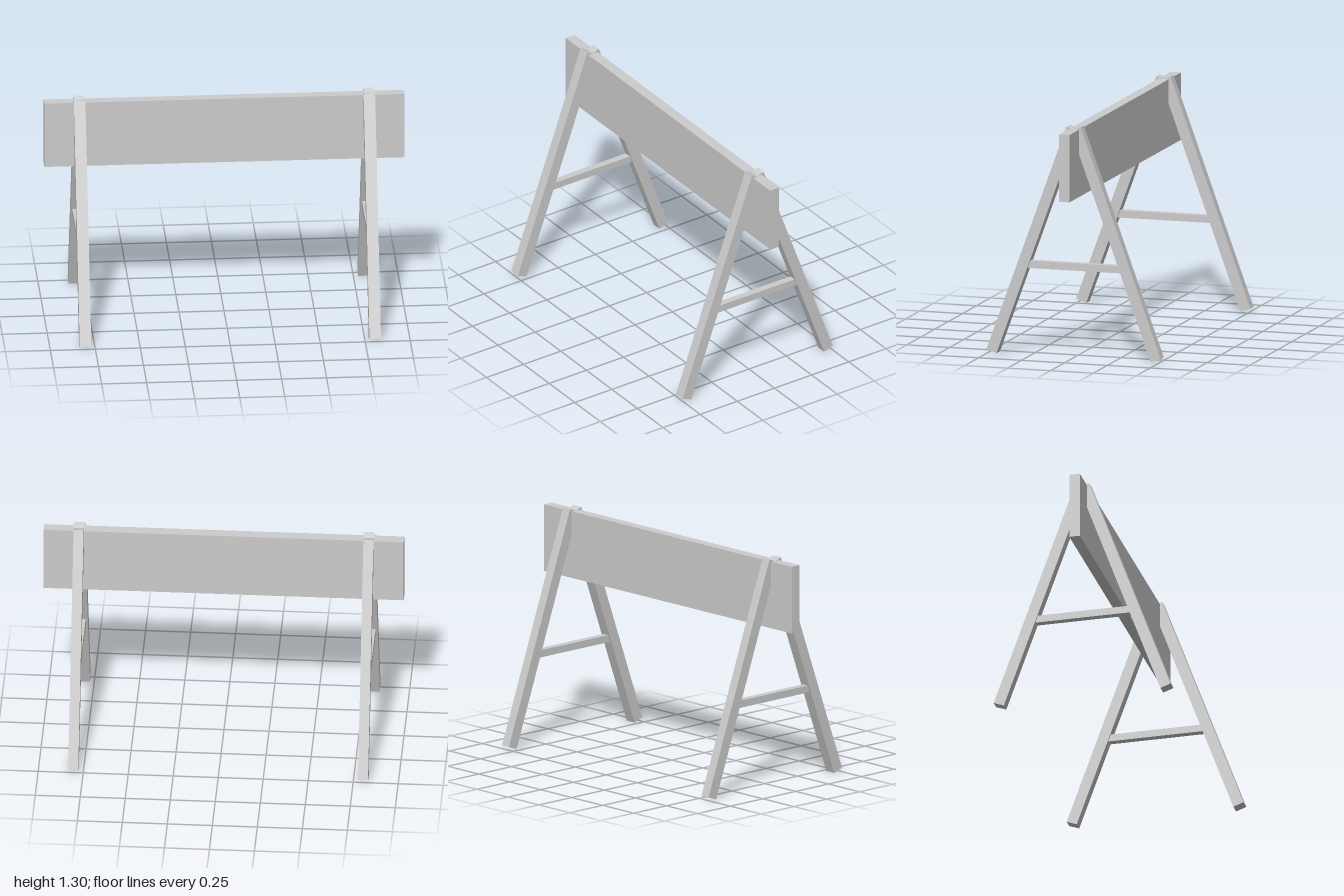
import * as THREE from 'three';

const material = new THREE.MeshStandardMaterial({ color: 0xcccccc, flatShading: true });
const LEAN = THREE.MathUtils.degToRad(20);

function beam(name, size, position, tilt = 0) {
  const mesh = new THREE.Mesh(new THREE.BoxGeometry(...size), material);
  mesh.name = name;
  mesh.position.set(...position);
  mesh.rotation.x = tilt;
  return mesh;
}

// A-shaped trestle: two leaning legs that cross at the ridge, tied by a brace
function trestle(name, x) {
  const group = new THREE.Group();
  group.name = name;
  group.position.x = x;
  group.add(
    beam('frontLeg', [0.064, 1.362, 0.062], [0, 0.651, 0.245], -LEAN),
    beam('backLeg', [0.056, 1.362, 0.062], [0, 0.651, -0.245], LEAN),
    beam('brace', [0.04, 0.041, 0.56], [0, 0.51, 0])
  );
  return group;
}

export function createModel() {
  const model = new THREE.Group();
  model.name = 'barricade';

  // Long plank held on edge between the leg tops
  model.add(beam('board', [2, 0.38, 0.06], [0, 1.097, 0]));

  model.add(trestle('leftTrestle', 0.805), trestle('rightTrestle', -0.805));
  return model;
}
